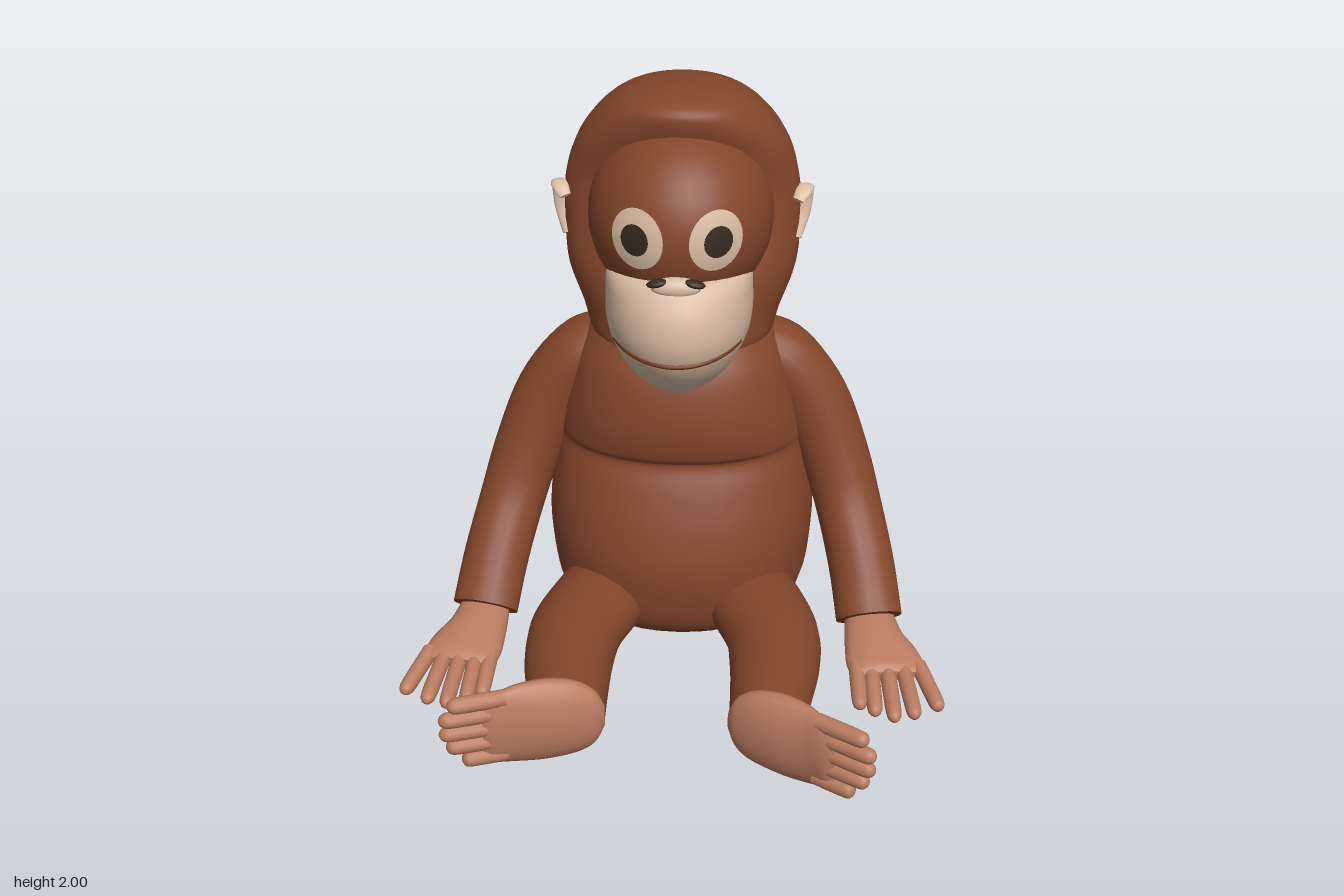
import * as THREE from 'three';

const mat = (name, color) => {
  const m = new THREE.MeshStandardMaterial({ color });
  m.name = name;
  return m;
};

// Catmull-Rom interpolation of rows of numbers
function smooth(rows, n = 5) {
  const out = [];
  const at = (i) => rows[Math.max(0, Math.min(rows.length - 1, i))];
  for (let i = 0; i < rows.length - 1; i++) {
    const [a, b, c, d] = [at(i - 1), at(i), at(i + 1), at(i + 2)];
    for (let k = 0; k < n; k++) {
      const t = k / n;
      out.push(b.map((_, j) => b[j] + 0.5 * t * (c[j] - a[j]
        + t * (2 * a[j] - 5 * b[j] + 4 * c[j] - d[j] + t * (3 * (b[j] - c[j]) + d[j] - a[j])))));
    }
  }
  out.push(rows[rows.length - 1]);
  return out;
}

// Skin closed rings of points and cap both ends
function skin(rings) {
  const n = rings[0].length, pos = [], idx = [];
  rings.forEach((r) => r.forEach((p) => pos.push(p.x, p.y, p.z)));
  for (let i = 0; i < rings.length - 1; i++) {
    for (let j = 0; j < n; j++) {
      const a = i * n + j, b = i * n + (j + 1) % n;
      idx.push(a, b, a + n, b, b + n, a + n);
    }
  }
  [rings[0], rings[rings.length - 1]].forEach((r, end) => {
    const start = pos.length / 3;
    const c = r.reduce((s, p) => s.add(p), new THREE.Vector3()).divideScalar(n);
    [...r, c].forEach((p) => pos.push(p.x, p.y, p.z));
    for (let j = 0; j < n; j++) {
      const a = start + j, b = start + (j + 1) % n;
      if (end) idx.push(a, b, start + n); else idx.push(b, a, start + n);
    }
  });
  const g = new THREE.BufferGeometry();
  g.setAttribute('position', new THREE.Float32BufferAttribute(pos, 3));
  g.setIndex(idx);
  g.computeVertexNormals();
  return g;
}

// Upright volume from rows of [y, halfWidth, zCentre, zFront, zBack]
function layers(rows, power = 2, n = 40) {
  return skin(smooth(rows).map(([y, w, zc, zf, zb]) => Array.from({ length: n }, (_, j) => {
    const a = (j / n) * Math.PI * 2, c = Math.cos(a), s = -Math.sin(a);
    const bend = (v) => Math.sign(v) * Math.pow(Math.abs(v), 2 / power);
    return new THREE.Vector3(w * bend(c), y, zc + bend(s) * (s > 0 ? zf - zc : zc - zb));
  })));
}

// Limb from rows of [x, y, z, radiusAlongRef, radiusAcross]
function limb(rows, ref = new THREE.Vector3(1, 0, 0), n = 20) {
  const r = smooth(rows);
  const p = r.map((v) => new THREE.Vector3(v[0], v[1], v[2]));
  return skin(r.map((v, i) => {
    const t = p[Math.min(i + 1, p.length - 1)].clone().sub(p[Math.max(i - 1, 0)]).normalize();
    const side = ref.clone().addScaledVector(t, -ref.dot(t)).normalize();
    const up = t.clone().cross(side);
    return Array.from({ length: n }, (_, j) => {
      const a = (j / n) * Math.PI * 2;
      return p[i].clone().addScaledVector(side, v[3] * Math.cos(a)).addScaledVector(up, v[4] * Math.sin(a));
    });
  }));
}

// Round-ended finger or toe
function digit(a, b, r, ref) {
  const steps = [[0, 1], [0.5, 1], [0.85, 0.95], [0.96, 0.65], [1, 0.15]];
  return limb(steps.map(([t, k]) => [...a.map((v, i) => v + (b[i] - v) * t), r * k, r * k]), ref, 12);
}

export function createModel() {
  const model = new THREE.Group();
  model.name = 'sittingApe';
  const fur = mat('rust fur', 0x84462b);
  const skinTone = mat('hand skin', 0xba7c61);
  const pale = mat('pale face', 0xd8bba2);
  const dark = mat('dark eye', 0x35291f);
  const lip = mat('mouth brown', 0x6e3920);
  const add = (name, geo, material, parent = model) => {
    const m = new THREE.Mesh(geo, material);
    m.name = name;
    parent.add(m);
    return m;
  };

  // Torso with round belly and chest fold
  add('torso', layers([
    [0, 0.26, -0.42, -0.17, -0.72], [0.03, 0.37, -0.42, -0.07, -0.8], [0.12, 0.45, -0.43, -0.01, -0.87],
    [0.3, 0.48, -0.45, 0.01, -0.91], [0.45, 0.48, -0.45, -0.02, -0.905], [0.6, 0.46, -0.45, -0.08, -0.88],
    [0.69, 0.445, -0.45, -0.125, -0.855], [0.73, 0.44, -0.45, -0.105, -0.845], [0.82, 0.425, -0.45, -0.09, -0.82],
    [0.92, 0.4, -0.45, -0.1, -0.785], [1.02, 0.37, -0.45, -0.13, -0.74], [1.1, 0.33, -0.45, -0.18, -0.7],
    [1.2, 0.27, -0.45, -0.25, -0.65],
  ], 2.2), fur);

  // Head with overhanging crown, and the face dome set into it
  add('head', layers([
    [1.04, 0.24, -0.42, -0.2, -0.64], [1.1, 0.31, -0.42, -0.18, -0.71], [1.2, 0.345, -0.45, -0.19, -0.8],
    [1.35, 0.395, -0.45, -0.22, -0.85], [1.5, 0.405, -0.45, -0.27, -0.862], [1.65, 0.4, -0.45, -0.3, -0.86],
    [1.78, 0.365, -0.45, -0.27, -0.83], [1.88, 0.3, -0.45, -0.235, -0.77], [1.95, 0.22, -0.44, -0.23, -0.68],
    [1.985, 0.13, -0.42, -0.29, -0.57], [2.0, 0.03, -0.4, -0.37, -0.44],
  ], 2.1), fur);
  const face = { y: 1.57, z: -0.35, rx: 0.315, ry: 0.325, rz: 0.35 };
  add('faceDome', new THREE.SphereGeometry(1, 40, 28).scale(face.rx, face.ry, face.rz)
    .translate(0, face.y, face.z), fur);

  // Muzzle, mouth and nose
  add('muzzle', layers([
    [1.0, 0.05, -0.15, -0.1, -0.2], [1.03, 0.11, -0.18, -0.06, -0.22], [1.07, 0.16, -0.2, -0.02, -0.24],
    [1.13, 0.205, -0.22, 0.03, -0.26], [1.2, 0.237, -0.23, 0.066, -0.28], [1.27, 0.25, -0.23, 0.08, -0.28],
    [1.35, 0.25, -0.23, 0.068, -0.28], [1.42, 0.243, -0.23, 0.03, -0.28], [1.45, 0.2, -0.23, 0.0, -0.28],
    [1.46, 0.1, -0.23, -0.04, -0.26],
  ]), pale);
  const mouth = Array.from({ length: 21 }, (_, i) => {
    const x = -0.21 + i * 0.021;
    return new THREE.Vector3(x, 1.187 + 0.6 * x * x, -0.23 + 0.292 * Math.sqrt(1 - (x / 0.238) ** 2));
  });
  add('mouth', new THREE.TubeGeometry(new THREE.CatmullRomCurve3(mouth), 40, 0.008, 8), lip);
  add('nose', new THREE.SphereGeometry(1, 20, 14).scale(0.085, 0.036, 0.035).translate(0, 1.445, -0.008), pale);

  // Thin disc laid on the face dome
  const faceDisc = (x, y, rx, ry, lift) => {
    const g = new THREE.RingGeometry(0.001, 1, 32, 6), p = g.attributes.position;
    for (let i = 0; i < p.count; i++) {
      const px = x + p.getX(i) * rx, py = y + p.getY(i) * ry;
      const k = 1 - (px / face.rx) ** 2 - ((py - face.y) / face.ry) ** 2;
      p.setXYZ(i, px, py, face.z + face.rz * Math.sqrt(Math.max(0, k)) + lift);
    }
    g.computeVertexNormals();
    return g;
  };

  for (const m of [1, -1]) {
    const side = new THREE.Group();
    side.name = m > 0 ? 'leftSide' : 'rightSide';
    model.add(side);
    const part = (name, geo, material) => add(name, geo, material, side);
    const flip = (rows) => rows.map(([x, ...rest]) => [x * m, ...rest]);

    // Eyes and nostrils
    part('eyePatch', faceDisc(0.128 * m, 1.6, 0.086, 0.102, 0.005), pale);
    part('pupil', faceDisc(0.137 * m, 1.6, 0.046, 0.053, 0.009), dark);
    part('nostril', new THREE.SphereGeometry(1, 14, 10).scale(0.036, 0.013, 0.022)
      .rotateZ(-0.2 * m).translate(0.062 * m, 1.464, 0.002), dark);

    // Ear: a curled rim
    part('ear', limb(flip([
      [0.395, 1.605, -0.375, 0.02, 0.008], [0.415, 1.63, -0.41, 0.03, 0.013], [0.415, 1.62, -0.45, 0.033, 0.014],
      [0.408, 1.54, -0.45, 0.032, 0.016], [0.392, 1.455, -0.41, 0.018, 0.012],
    ])), pale);

    // Arm
    part('arm', limb(flip([
      [0.27, 1.03, -0.47, 0.1, 0.12], [0.36, 0.965, -0.46, 0.125, 0.14], [0.47, 0.82, -0.43, 0.128, 0.125],
      [0.555, 0.62, -0.38, 0.122, 0.115], [0.61, 0.45, -0.31, 0.118, 0.11], [0.66, 0.28, -0.18, 0.118, 0.11],
      [0.69, 0.14, -0.04, 0.118, 0.09],
    ])), fur);

    // Hand resting flat, with five spread fingers
    part('palm', limb(flip([
      [0.69, 0.13, -0.09, 0.085, 0.06], [0.705, 0.115, 0.05, 0.105, 0.058], [0.73, 0.105, 0.15, 0.13, 0.05],
      [0.75, 0.1, 0.22, 0.132, 0.038], [0.755, 0.098, 0.25, 0.115, 0.02],
    ])), skinTone);
    [[0.64, 0.65, 0.4], [0.69, 0.7, 0.435], [0.745, 0.765, 0.465], [0.8, 0.835, 0.445], [0.855, 0.92, 0.395]]
      .forEach(([x0, x1, z]) => part('finger',
        digit([x0 * m, 0.105, 0.19], [x1 * m, 0.07, z], 0.028), skinTone));

    // Leg stretched forward
    part('leg', limb(flip([
      [0.2, 0.15, -0.35, 0.15, 0.12], [0.28, 0.15, -0.1, 0.17, 0.13], [0.345, 0.15, 0.1, 0.165, 0.128],
      [0.355, 0.148, 0.28, 0.155, 0.125], [0.345, 0.146, 0.44, 0.14, 0.12], [0.33, 0.145, 0.6, 0.125, 0.115],
    ])), fur);

    // Foot with sole forward and toes outward; each turns by its own angle
    const turn = m > 0 ? 0.54 : 0.31, c = Math.cos(turn), s = Math.sin(turn);
    const place = (l, y, d) => [m * (0.2 + l * c - d * s), y, 0.635 + l * s + d * c];
    const zRef = new THREE.Vector3(0, 0, 1);
    part('foot', limb([
      [0, 0.18, -0.015, 0.015, 0.04], [0.03, 0.18, -0.02, 0.04, 0.1], [0.09, 0.18, -0.03, 0.06, 0.14],
      [0.19, 0.185, -0.038, 0.068, 0.158], [0.3, 0.19, -0.035, 0.055, 0.152], [0.37, 0.195, -0.02, 0.04, 0.138],
      [0.41, 0.195, -0.015, 0.02, 0.115],
    ].map(([l, y, d, a, b]) => [...place(l, y, d), a, b]), zRef), skinTone);
    [[0.31, 0.52], [0.257, 0.55], [0.203, 0.55], [0.148, 0.53], [0.09, 0.48]]
      .forEach(([y, l]) => part('toe',
        digit(place(0.33, y, -0.02), place(l, y + 0.01, -0.005), 0.029, zRef), skinTone));
  }
  return model;
}
